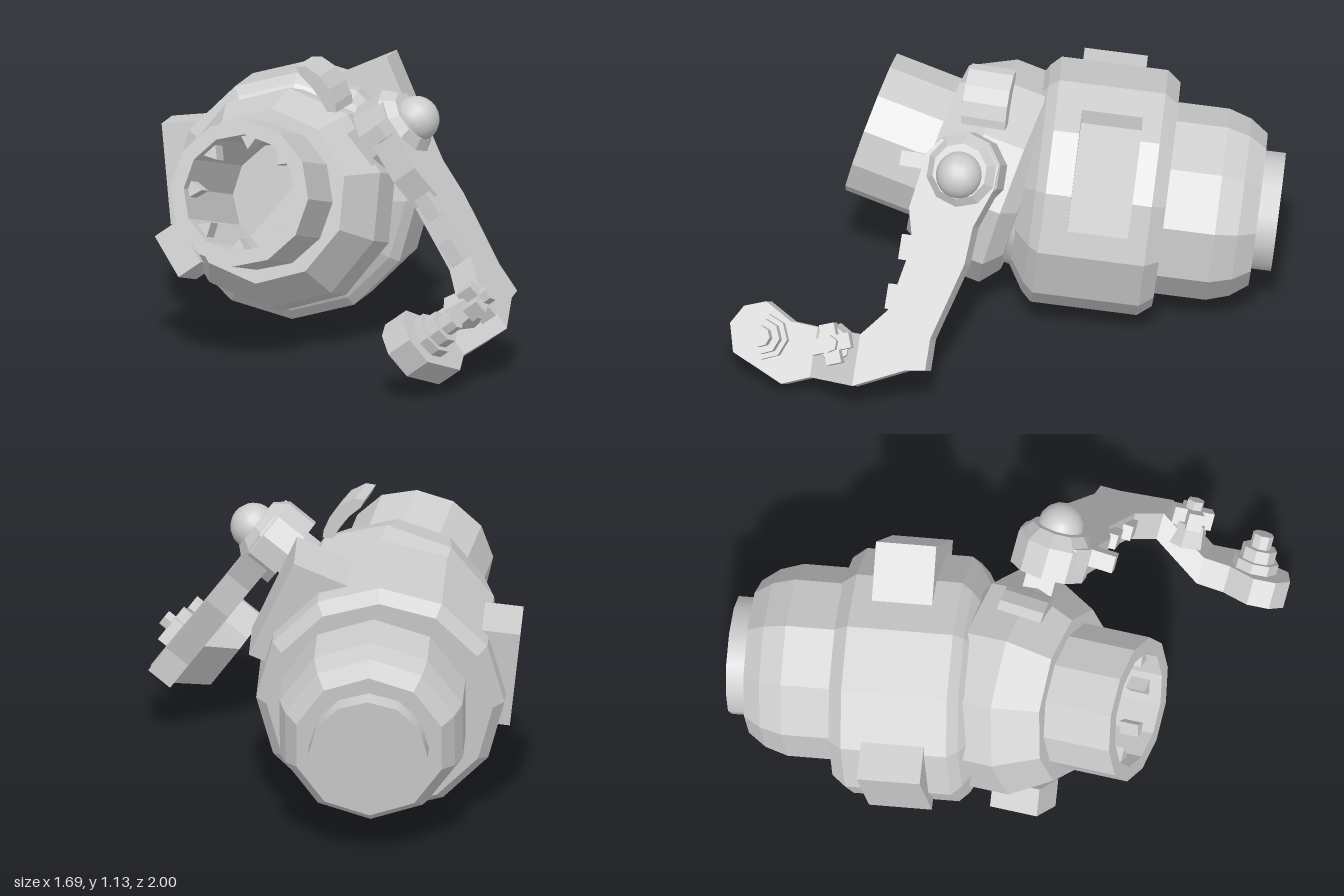
import * as THREE from 'three';

export function createModel() {
  const model = new THREE.Group();
  model.name = 'thrusterWithArm';
  const grey = new THREE.MeshStandardMaterial({ color: 0xcccccc });
  grey.name = 'lightGrey';

  const flat = (g) => {
    const f = g.index ? g.toNonIndexed() : g;
    f.computeVertexNormals();
    return f;
  };
  const add = (parent, name, geometry, x = 0, y = 0, z = 0, roll = 0) => {
    const m = new THREE.Mesh(geometry, grey);
    m.name = name;
    m.position.set(x, y, z);
    m.rotation.z = roll;
    parent.add(m);
    return m;
  };
  const box = (w, h, d) => new THREE.BoxGeometry(w, h, d);
  // Cylinder along local z from z0 to z1
  const rod = (r0, r1, z0, z1, sides) => new THREE.CylinderGeometry(r1, r0, z1 - z0, sides)
    .rotateX(Math.PI / 2).translate(0, 0, (z0 + z1) / 2);
  // Faceted turning along local z, from [radius, z] points
  const turned = (points, sides) => flat(new THREE.LatheGeometry(
    points.map(([r, s]) => new THREE.Vector2(r, s)), sides).rotateX(Math.PI / 2));
  // Group whose local z follows an axis
  const frame = (name, origin, axis) => {
    const g = new THREE.Group();
    g.name = name;
    g.position.set(...origin);
    g.lookAt(new THREE.Vector3(...origin).add(new THREE.Vector3(...axis)));
    model.add(g);
    return g;
  };

  // Rear module, measured forward from its end cap
  const rear = frame('rearModule', [-0.4, 0.43, -0.957], [0.195, 0.108, 0.975]);
  add(rear, 'endCap', rod(0.235, 0.235, 0.01, 0.14, 12));
  add(rear, 'rearDrum', turned([[0, 0.09], [0.3, 0.09], [0.35, 0.16], [0.378, 0.25], [0.378, 0.5]], 10));
  add(rear, 'mainBody', turned([[0, 0.455], [0.445, 0.455], [0.488, 0.51], [0.488, 0.93],
    [0.45, 0.97], [0.32, 1.05], [0, 1.05]], 12), -0.022);
  add(rear, 'leftBox', box(0.38, 0.44, 0.24), 0.235, 0.27, 0.708, 0.42);
  add(rear, 'rightBox', box(0.19, 0.4, 0.25), -0.453, 0.065, 0.717, 0.11);

  // Front module, measured back from the muzzle
  const front = frame('frontModule', [-0.205, 0.7, 0.655], [0, 0.26, 0.965]);
  add(front, 'neck', rod(0.33, 0.33, -0.95, -0.6, 12));
  add(front, 'collar', turned([[0, -0.68], [0.36, -0.68], [0.435, -0.62], [0.435, -0.45],
    [0.345, -0.28], [0.28, -0.28]], 10));
  add(front, 'barrel', turned([[0.29, -0.5], [0.29, 0], [0.232, 0], [0.232, -0.6], [0, -0.6]], 12));
  const tooth = new THREE.Shape([[0.24, -0.042], [0.24, 0.042], [0.175, 0]]
    .map(([x, y]) => new THREE.Vector2(x, y)));
  for (let i = 0; i < 8; i++)
    add(front, 'boreTooth', new THREE.ExtrudeGeometry(tooth, { depth: 0.08, bevelEnabled: false }),
      0, 0, -0.13, (i / 8) * Math.PI * 2 + Math.PI / 2);
  add(front, 'collarBlock', box(0.11, 0.19, 0.2), -0.355, -0.236, -0.43, 0.65);

  // Curved fin on top of the collar
  const finShape = new THREE.Shape([[0.04, 0.95], [0.035, 0.985], [0.01, 1.04], [-0.03, 1.09], [-0.09, 1.125],
    [-0.13, 1.122], [-0.115, 1.09], [-0.07, 1.05], [-0.03, 1.0], [0, 0.95]]
    .map(([x, y]) => new THREE.Vector2(x, y)));
  add(model, 'topFin', new THREE.ExtrudeGeometry(finShape, { depth: 0.18, bevelEnabled: false }), 0, 0, 0.045);

  // Arm frame: local x is forward, local y runs down the arm, local z points outward
  const arm = new THREE.Group();
  arm.name = 'arm';
  arm.rotation.setFromRotationMatrix(new THREE.Matrix4().makeBasis(
    new THREE.Vector3(0, 0, 1), new THREE.Vector3(0.593, -0.805, 0), new THREE.Vector3(0.805, 0.593, 0)));
  model.add(arm);

  // Plate from [forward, height] points; it steps inward towards the foot
  const step = (z) => -0.125 * Math.min(1, Math.max(0, (z - 0.45) / 0.2));
  const plate = (name, points) => {
    const shape = new THREE.Shape(points.map(([z, y]) =>
      new THREE.Vector2(z, (0.593 * (0.74 + step(z)) - y) / 0.805)));
    const g = new THREE.ExtrudeGeometry(shape, { depth: 0.11, bevelEnabled: false });
    const p = g.attributes.position;
    for (let i = 0; i < p.count; i++) p.setZ(i, p.getZ(i) + 0.684 + step(p.getX(i)));
    add(arm, name, flat(g));
  };
  plate('upperArm', [[0.3, 0.93], [0.25, 0.98], [0.06, 0.98], [0.005, 0.92], [0.01, 0.85], [0.07, 0.72],
    [0.08, 0.6], [0.17, 0.35], [0.17, 0.25], [0.25, 0.24], [0.45, 0.165], [0.45, 0.33],
    [0.355, 0.42], [0.3, 0.64], [0.335, 0.75]]);
  plate('armLink', [[0.45, 0.165], [0.65, 0.095], [0.65, 0.255], [0.45, 0.33]]);
  plate('foot', [[0.65, 0.255], [0.65, 0.095], [0.76, 0.06], [0.97, 0.135], [1, 0.225],
    [0.955, 0.285], [0.87, 0.31], [0.76, 0.26]]);

  // Shoulder
  add(arm, 'shoulderMount', box(0.12, 0.16, 0.26), 0.14, -0.569, 0.56);
  add(arm, 'shoulderHub', flat(rod(0.155, 0.155, 0.65, 0.78, 10)), 0.15, -0.56, 0);
  add(arm, 'shoulderRim', flat(rod(0.155, 0.11, 0.78, 0.83, 10)), 0.15, -0.56, 0);
  add(arm, 'shoulderBall', new THREE.SphereGeometry(0.092, 16, 12), 0.15, -0.545, 0.832);
  add(arm, 'shoulderTab', box(0.12, 0.06, 0.07), 0.34, -0.575, 0.76);

  // Blocks along the front edge of the arm
  add(arm, 'edgeBlock', box(0.07, 0.1, 0.06), 0.315, -0.23, 0.75);
  add(arm, 'edgeBlock', box(0.07, 0.1, 0.06), 0.34, -0.03, 0.74);

  // Stepped bolt on the foot
  [[0.09, 0.65, 0.71], [0.07, 0.71, 0.76], [0.042, 0.76, 0.815]].forEach(([r, z0, z1]) =>
    add(arm, 'footBolt', flat(rod(r, r, z0, z1, 8)), 0.845, 0.205, 0));

  // Cross-shaped clamp on the link
  add(arm, 'clampBase', flat(rod(0.085, 0.07, 0.69, 0.78, 6)), 0.555, 0.19, 0);
  for (const a of [0.35, 0.35 + Math.PI / 2])
    add(arm, 'clampBar', box(0.16, 0.06, 0.07), 0.555, 0.19, 0.8, a);
  add(arm, 'clampPin', flat(rod(0.035, 0.035, 0.8, 0.87, 6)), 0.555, 0.19, 0);

  return model;
}
